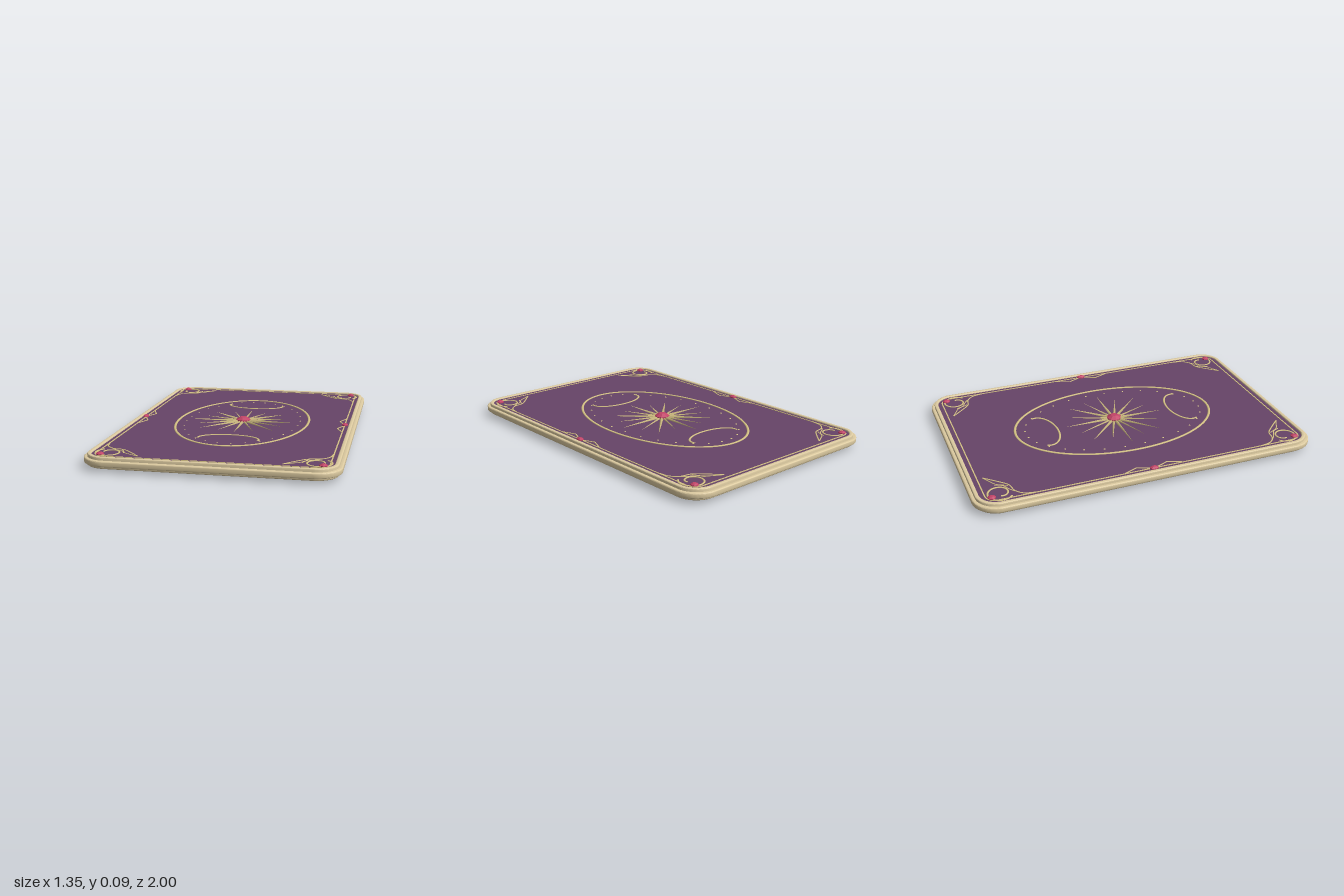
import * as THREE from 'three';
import { toCreasedNormals } from 'three/addons/utils/BufferGeometryUtils.js';

const TOP = 0.068, BOTTOM = 0.021;   // heights of the two inlaid faces

export function createModel() {
  const model = new THREE.Group();
  const mat = (name, color, flatShading = false) => {
    const m = new THREE.MeshStandardMaterial({ color, flatShading });
    m.name = name;
    return m;
  };
  const rimGold = mat('pale gold', 0xdccaa0);
  const lineGold = mat('filigree gold', 0xd3c084);
  const purple = mat('purple', 0x674468);
  const grey = mat('light grey', 0xcac8c5);
  const red = mat('gem red', 0xc24468, true);

  const add = (parent, name, geometry, material) => {
    const mesh = new THREE.Mesh(geometry, material);
    mesh.name = name;
    parent.add(mesh);
    return mesh;
  };

  // Rounded rectangle with half sizes a, b and corner radius r
  const roundRect = (a, b, r, Type = THREE.Shape) => {
    const p = new Type();
    p.moveTo(a, -b + r);
    p.lineTo(a, b - r);
    p.absarc(a - r, b - r, r, 0, Math.PI / 2);
    p.lineTo(-a + r, b);
    p.absarc(-a + r, b - r, r, Math.PI / 2, Math.PI);
    p.lineTo(-a, -b + r);
    p.absarc(-a + r, -b + r, r, Math.PI, Math.PI * 1.5);
    p.lineTo(a - r, -b);
    p.absarc(a - r, -b + r, r, Math.PI * 1.5, Math.PI * 2);
    return p;
  };

  // Horizontal slab from y0 to y1 with optional rounded edges
  const slab = (shape, y0, y1, bevel = 0) => {
    const g = new THREE.ExtrudeGeometry(shape, {
      depth: y1 - y0 - 2 * bevel, curveSegments: 12, bevelEnabled: bevel > 0,
      bevelSize: bevel, bevelOffset: -bevel, bevelThickness: bevel, bevelSegments: 3,
    });
    g.translate(0, 0, bevel).rotateX(-Math.PI / 2).translate(0, y0, 0);
    return toCreasedNormals(g, 0.7);
  };

  const ring = (a, b, r, w) => {
    const s = roundRect(a, b, r);
    s.holes.push(roundRect(a - w, b - w, r - w, THREE.Path));
    return s;
  };

  // Card body: two inlaid faces, stepped rim and outer band
  add(model, 'topPanel', slab(roundRect(0.645, 0.97, 0.11), 0.045, TOP), purple);
  add(model, 'bottomPanel', slab(roundRect(0.645, 0.97, 0.11), BOTTOM, 0.045), grey);
  add(model, 'rim', slab(ring(0.656, 0.981, 0.12, 0.022), 0.014, 0.076, 0.005), rimGold);
  add(model, 'outerBand', slab(ring(0.674, 1, 0.138, 0.03), 0.029, 0.059, 0.006), rimGold);

  // Low rounded wire through [x, z] points
  const wire = (parent, name, pts, y, r = 0.004, closed = false) => {
    const curve = new THREE.CatmullRomCurve3(
      pts.map(([x, z]) => new THREE.Vector3(x, 0, z)), closed, 'centripetal');
    const g = new THREE.TubeGeometry(curve, pts.length * 6, r, 8, closed);
    return add(parent, name, g.scale(1, 0.55, 1).translate(0, y, 0), lineGold);
  };

  // Points on an elliptical arc, in [x, z]
  const arc = (rx, rz, cz, from, to, n) => Array.from({ length: n }, (_, i) => {
    const a = from + (to - from) * i / (n - 1);
    return [rx * Math.cos(a), cz + rz * Math.sin(a)];
  });

  // Eight-sided gem with a girdle and crown; side is +1 on the top face, -1 below
  const gem = (parent, x, z, y, side, r, h, stretch = 1) => {
    const profile = [[r, 0], [r, 0.45 * h], [0.45 * r, h], [0, h]];
    const g = new THREE.LatheGeometry(profile.map(([a, b]) => new THREE.Vector2(a, b)), 8);
    g.scale(1, 1, stretch);
    if (side < 0) g.rotateX(Math.PI);
    add(parent, 'gem', g.translate(x, y, z), red);
  };

  // Curled scroll, sprig and tendrils of one corner
  const scroll = [];
  for (let i = 0; i <= 20; i++) {
    const t = i / 20, a = -0.9 + t * 7.2, r = 0.07 - 0.042 * t * t;
    scroll.push([0.55 + r * Math.cos(a), 0.85 + r * Math.sin(a)]);
  }
  const sprig = [[0.61, 0.66], [0.595, 0.73], [0.555, 0.77], [0.49, 0.785], [0.44, 0.83], [0.375, 0.9]];
  const tendrils = [
    [[0.495, 0.79], [0.46, 0.85], [0.42, 0.875], [0.375, 0.9]],
    [[0.56, 0.77], [0.535, 0.79], [0.485, 0.82], [0.465, 0.86]],
  ];

  // Border line, corner scrolls and side ornaments shared by both faces
  const decorate = (name, y, side) => {
    const face = new THREE.Group();
    face.name = name;
    model.add(face);
    add(face, 'borderLine', slab(ring(0.614, 0.935, 0.06, 0.007), y - 0.0015, y + 0.0015), lineGold);
    for (const sx of [-1, 1]) {
      for (const sz of [-1, 1]) {
        const flip = (pts) => pts.map(([x, z]) => [x * sx, z * sz]);
        wire(face, 'cornerScroll', flip(scroll), y, 0.0055);
        wire(face, 'cornerSprig', flip(sprig), y);
        if (side > 0) tendrils.forEach((t) => wire(face, 'cornerTendril', flip(t), y, 0.0032));
        gem(face, 0.58 * sx, 0.9 * sz, y, side, 0.022, 0.013);
        for (const end of [[[0.607, 0.17], [0.575, 0.09]], [[0.575, 0.09], [0.605, 0.02]]]) {
          wire(face, 'sideChevron', flip(end), y, 0.004);
        }
      }
      gem(face, 0.612 * sx, 0, y, side, 0.018, 0.013, 1.45);
    }
    return face;
  };

  const front = decorate('topOrnament', TOP + 0.001, 1);
  const back = decorate('bottomOrnament', BOTTOM - 0.001, -1);

  // Oval medallion with a ring of flat studs
  wire(front, 'ovalFrame', arc(0.392, 0.608, 0, 0, Math.PI * 2 * 47 / 48, 48), TOP + 0.001, 0.0075, true);
  for (let i = 0; i < 28; i++) {
    const a = ((i + 0.5) / 28) * Math.PI * 2;
    const stud = new THREE.CylinderGeometry(0.004, 0.006, 0.0025, 8);
    add(front, 'stud', stud.translate(0.34 * Math.cos(a), TOP + 0.001, 0.55 * Math.sin(a)), lineGold);
  }

  // Two crescents facing the centre
  for (const s of [-1, 1]) {
    wire(front, 'crescent', arc(0.172, -0.09 * s, 0.448 * s, -0.25, Math.PI + 0.25, 24), TOP + 0.001, 0.006);
  }

  // Starburst of sixteen tapered rays around the centre gem
  for (let i = 0; i < 16; i++) {
    const [length, width] = i % 2 ? [0.27, 0.009] : [0.31, 0.012];
    const ray = new THREE.ConeGeometry(width, length, 4);
    ray.translate(0, length / 2, 0).rotateZ(-Math.PI / 2).rotateY((i / 16) * Math.PI * 2);
    add(front, 'starRay', ray.translate(0, TOP + 0.001, 0), lineGold);
  }
  gem(front, 0, 0, TOP, 1, 0.044, 0.027);

  // Underside: arch with a crown gem, and a rounded nameplate outline
  const arch = [[0.6, 0], ...arc(0.6, -0.6, -0.25, 0, Math.PI, 25), [-0.6, 0]];
  wire(back, 'arch', arch, BOTTOM - 0.001, 0.007);
  const plate = slab(ring(0.57, 0.115, 0.05, 0.01), BOTTOM - 0.004, BOTTOM + 0.001);
  add(back, 'plateOutline', plate.translate(0, 0, 0.685), lineGold);
  gem(back, 0, -0.86, BOTTOM, -1, 0.028, 0.021);

  return model;
}
